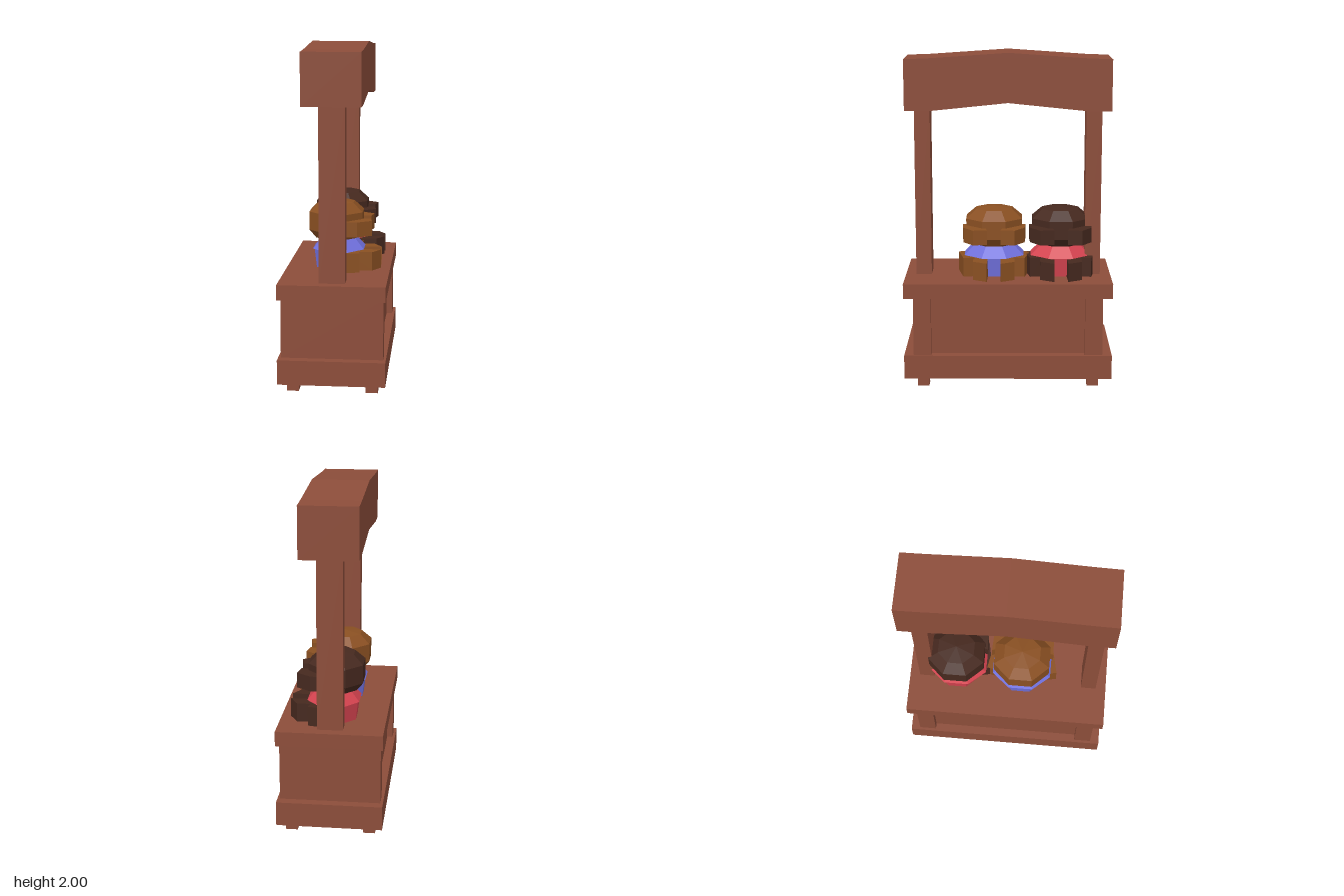
import * as THREE from 'three';

const mat = (color) => new THREE.MeshStandardMaterial({ color, flatShading: true });
const wood = mat(0x8c4d3a);

function add(parent, name, geometry, material, x = 0, y = 0, z = 0) {
  const mesh = new THREE.Mesh(geometry, material);
  mesh.name = name;
  mesh.position.set(x, y, z);
  parent.add(mesh);
  return mesh;
}

// Box given by its width, depth and lower and upper height
function block(parent, name, w, d, y0, y1, x = 0, z = 0, material = wood) {
  return add(parent, name, new THREE.BoxGeometry(w, y1 - y0, d), material, x, (y0 + y1) / 2, z);
}

// Upright prism from a floor outline of [x, z] points
function prism(parent, name, outline, y0, y1, material) {
  const shape = new THREE.Shape(outline.map(([x, z]) => new THREE.Vector2(x, -z)));
  const geo = new THREE.ExtrudeGeometry(shape, { depth: y1 - y0, bevelEnabled: false });
  geo.rotateX(-Math.PI / 2);
  return add(parent, name, geo, material, 0, y0, 0);
}

// Eight-sided tapered ring, wider in x than in z
function ring(parent, name, rTop, rBottom, y0, y1, depth, material) {
  const geo = new THREE.CylinderGeometry(rTop, rBottom, y1 - y0, 8);
  geo.rotateY(Math.PI / 8);
  geo.scale(1, 1, depth);
  return add(parent, name, geo, material, 0, (y0 + y1) / 2, 0);
}

// Seated figure facing +z
function createFigure(name, furColor, shirtColor) {
  const figure = new THREE.Group();
  figure.name = name;
  const fur = mat(furColor);
  const shirt = mat(shirtColor);

  ring(figure, 'torso', 0.165, 0.15, 0.648, 0.765, 0.95, shirt);
  ring(figure, 'shoulders', 0.12, 0.195, 0.765, 0.835, 0.85, shirt);

  // Head as one low-poly turned shape
  const profile = [[0, 0.83], [0.135, 0.83], [0.178, 0.88], [0.178, 0.99], [0.115, 1.045], [0, 1.06]]
    .map(([r, y]) => new THREE.Vector2(r, y));
  const head = new THREE.LatheGeometry(profile, 8);
  head.rotateY(Math.PI / 8);
  head.scale(1.03, 1, 0.97);
  add(figure, 'head', head, fur, 0, 0, -0.015);

  for (const s of [-1, 1]) {
    // Flap hanging forward at the side of the head
    prism(figure, 'headFlap',
      [[0.07, 0.05], [0.19, 0.02], [0.185, 0.12], [0.125, 0.205], [0.04, 0.19]].map(([x, z]) => [s * x, z]),
      0.86, 0.95, fur);
    // Leg with a slanted foot end
    prism(figure, 'leg',
      [[0.035, 0.05], [0.125, 0.05], [0.125, 0.207], [0.042, 0.255]].map(([x, z]) => [s * x, z]),
      0.648, 0.76, fur);
    const arm = block(figure, 'arm', 0.075, 0.17, 0.648, 0.765, s * 0.165, 0.045, fur);
    arm.rotation.y = -s * 0.2;
  }
  return figure;
}

export function createModel() {
  const model = new THREE.Group();
  model.name = 'marketStall';
  const stall = new THREE.Group();
  stall.name = 'stall';
  stall.rotation.y = -0.831;
  model.add(stall);

  // Counter
  block(stall, 'base', 1.246, 0.623, 0.06, 0.205);
  block(stall, 'recessedPanel', 0.96, 0.52, 0.205, 0.56);
  block(stall, 'counterTop', 1.246, 0.623, 0.56, 0.648);
  for (const sx of [-1, 1]) {
    block(stall, 'counterEnd', 0.105, 0.592, 0.205, 0.56, sx * 0.514);
    block(stall, 'roofPost', 0.094, 0.15, 0.648, 1.68, sx * 0.513);
    for (const sz of [-1, 1]) block(stall, 'foot', 0.07, 0.07, 0, 0.06, sx * 0.512, sz * 0.23);
  }

  // Gently peaked canopy
  const outline = [[-0.61, 1.66], [-0.47, 1.66], [0, 1.708], [0.47, 1.66], [0.61, 1.66],
    [0.61, 1.963], [0.47, 1.968], [0, 2], [-0.47, 1.968], [-0.61, 1.963]]
    .map(([x, y]) => new THREE.Vector2(x, y));
  const roof = new THREE.ExtrudeGeometry(new THREE.Shape(outline), { depth: 0.34, bevelEnabled: false });
  add(stall, 'canopy', roof, wood, 0, 0, -0.17);

  // Two figures on the counter, facing the rear
  const figures = [
    ['lightFigure', 0x8a5022, 0x7070dc, 0.085],
    ['darkFigure', 0x46291f, 0xd4434f, -0.318],
  ];
  for (const [name, fur, shirt, x] of figures) {
    const figure = createFigure(name, fur, shirt);
    figure.position.x = x;
    figure.rotation.y = Math.PI;
    stall.add(figure);
  }
  return model;
}
